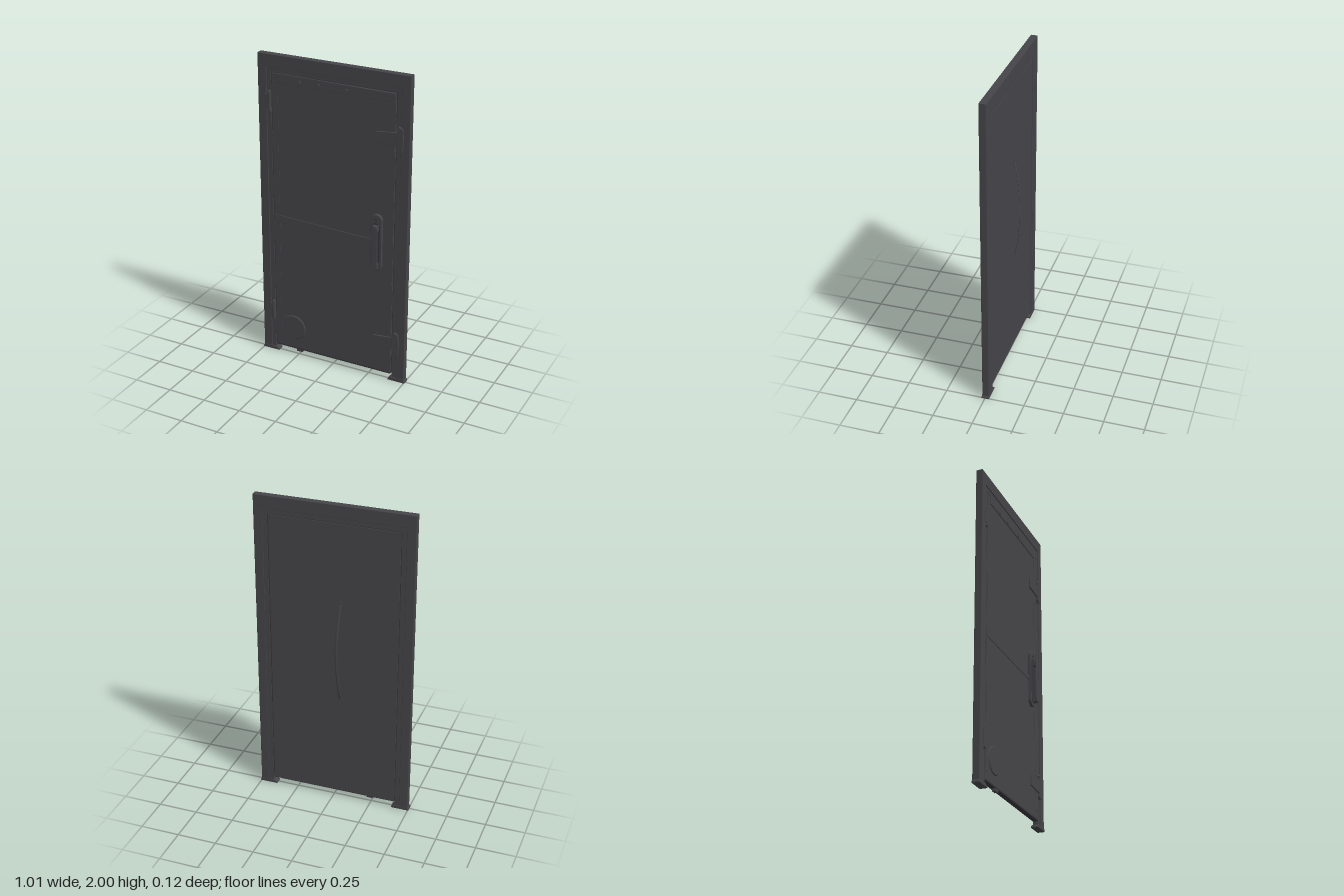
import * as THREE from 'three';

export function createModel() {
  const model = new THREE.Group();
  const frameMat = new THREE.MeshStandardMaterial({ color: 0x454448 });
  frameMat.name = 'dark steel';
  const darkMat = new THREE.MeshStandardMaterial({ color: 0x37363a });
  darkMat.name = 'shadowed steel';

  const add = (name, geo, mat = frameMat, x = 0, y = 0, z = 0) => {
    const mesh = new THREE.Mesh(geo, mat);
    mesh.name = name;
    mesh.position.set(x, y, z);
    model.add(mesh);
    return mesh;
  };
  // Box given by its limits on each axis
  const box = (name, x0, x1, y0, y1, z0, z1, mat) =>
    add(name, new THREE.BoxGeometry(x1 - x0, y1 - y0, z1 - z0), mat,
      (x0 + x1) / 2, (y0 + y1) / 2, (z0 + z1) / 2);
  // Bevelled extrusion from z0 to z1
  const extrude = (name, shape, z0, z1, bevel = 0.002, mat = frameMat) =>
    add(name, new THREE.ExtrudeGeometry(shape, {
      depth: z1 - z0 - 2 * bevel, bevelEnabled: bevel > 0, bevelThickness: bevel,
      bevelSize: bevel, bevelOffset: -bevel, bevelSegments: 2, curveSegments: 20,
    }), mat, 0, 0, z0 + bevel);
  const polygon = pts => new THREE.Shape(pts.map(p => new THREE.Vector2(...p)));
  // U-shaped surround, open at the bottom
  const surround = (xo, yo, xi, yi, y0) => polygon([
    [-xo, y0], [-xi, y0], [-xi, yi], [xi, yi], [xi, y0], [xo, y0], [xo, yo], [-xo, yo]]);
  const stadium = (x, y0, y1, r) => {
    const s = new THREE.Shape();
    s.absarc(x, y1 - r, r, 0, Math.PI);
    s.absarc(x, y0 + r, r, Math.PI, Math.PI * 2);
    s.closePath();
    return s;
  };

  // Frame with a stepped inner jamb
  extrude('frame', surround(0.498, 2, 0.442, 1.92, 0.01), -0.025, 0.018);
  extrude('jamb', surround(0.443, 1.921, 0.413, 1.89, 0.01), -0.022, 0.012, 0.001);
  for (const s of [-1, 1]) {
    const foot = polygon([[0.39, 0], [0.505, 0], [0.505, 0.008], [0.495, 0.022], [0.41, 0.022], [0.39, 0.008]]
      .map(([x, y]) => [s * x, y]));
    extrude('footPlate', foot, -0.026, 0.02, 0.001);
  }

  // Door leaf, with a dark gap along its edges
  box('doorGap', -0.415, 0.415, 0.05, 1.892, -0.018, 0.008, darkMat);
  extrude('doorLeaf', polygon([[-0.408, 0.045], [0.408, 0.045], [0.408, 1.886], [-0.408, 1.886]]), -0.02, 0.013);
  box('bottomEdge', -0.405, 0.405, 0.042, 0.052, -0.018, 0.0145, darkMat);
  box('bottomStop', -0.26, -0.22, 0.026, 0.05, -0.008, 0.014);

  // Raised ribs and rail on the front
  extrude('topRail', polygon([[-0.37, 1.83], [0.37, 1.83], [0.405, 1.86], [0.405, 1.883], [-0.37, 1.89]]), 0.01, 0.018);
  extrude('middleRib', polygon([[-0.408, 0.92], [0.265, 0.915], [0.265, 0.945], [-0.408, 0.972]]), 0.01, 0.0165);
  for (const s of [-1, 1]) {
    box('sideRib', s * 0.385 - 0.018, s * 0.385 + 0.018, 0.1, 1.84, 0.01, 0.0145);
  }
  for (const x of [-0.22, -0.09, 0.09]) {
    const bolt = add('railBolt', new THREE.CylinderGeometry(0.012, 0.014, 0.006, 14), frameMat, x, 1.85, 0.0195);
    bolt.rotation.x = Math.PI / 2;
  }

  // Round cover in the lower corner
  const cover = add('roundCover', new THREE.CylinderGeometry(0.08, 0.086, 0.006, 36), frameMat, -0.28, 0.195, 0.0155);
  cover.rotation.x = Math.PI / 2;

  // Strap hinges on one side, plain knuckles on the other
  for (const y of [1.61, 0.265]) {
    extrude('hingeStrap', polygon([[0.285, y - 0.035], [0.44, y - 0.045], [0.44, y + 0.045], [0.285, y + 0.03]]), 0.01, 0.022);
    extrude('hingePlate', polygon([[0.415, y - 0.07], [0.43, y - 0.085], [0.455, y - 0.075], [0.463, y],
      [0.455, y + 0.07], [0.43, y + 0.08], [0.415, y + 0.065]]), 0.01, 0.026, 0.003);
  }
  for (const y of [1.705, 0.29]) {
    add('sideKnuckle', new THREE.CapsuleGeometry(0.012, 0.12, 4, 12), frameMat, -0.425, y, 0.012);
    box('knucklePlate', -0.452, -0.42, y - 0.045, y + 0.045, 0.008, 0.021);
  }

  // Front pull handle
  extrude('handlePlate', stadium(0.3, 0.745, 1.118, 0.038), 0.01, 0.031, 0.004);
  extrude('handleRecess', stadium(0.3, 0.765, 1.065, 0.026), 0.03, 0.033, 0, darkMat);
  for (const y of [0.79, 1.035]) {
    box('handlePost', 0.286, 0.32, y - 0.018, y + 0.018, 0.03, 0.056);
  }
  extrude('handleGrip', stadium(0.303, 0.768, 1.055, 0.02), 0.052, 0.061, 0.003);
  const screw = add('handleScrew', new THREE.CylinderGeometry(0.009, 0.009, 0.004, 14), darkMat, 0.3, 1.085, 0.032);
  screw.rotation.x = Math.PI / 2;

  // Back pull: a thin bowed strip
  const bow = new THREE.CatmullRomCurve3([
    [-0.045, 0.72, -0.018], [-0.041, 0.79, -0.039], [-0.034, 0.92, -0.055], [-0.03, 1.06, -0.06],
    [-0.034, 1.2, -0.053], [-0.041, 1.32, -0.035], [-0.045, 1.385, -0.018],
  ].map(p => new THREE.Vector3(...p)));
  const bowGeo = new THREE.TubeGeometry(bow, 48, 0.0035, 8);
  const pos = bowGeo.attributes.position;
  for (let i = 0; i < pos.count; i++) {
    // Widen the strip across the door only
    const centre = bow.getPointAt(Math.floor(i / 9) / 48);
    pos.setX(i, centre.x + (pos.getX(i) - centre.x) * 2.4);
  }
  bowGeo.computeVertexNormals();
  add('backPull', bowGeo);
  for (const y of [0.725, 1.38]) box('backPullMount', -0.056, -0.034, y - 0.014, y + 0.014, -0.024, -0.018);

  return model;
}
